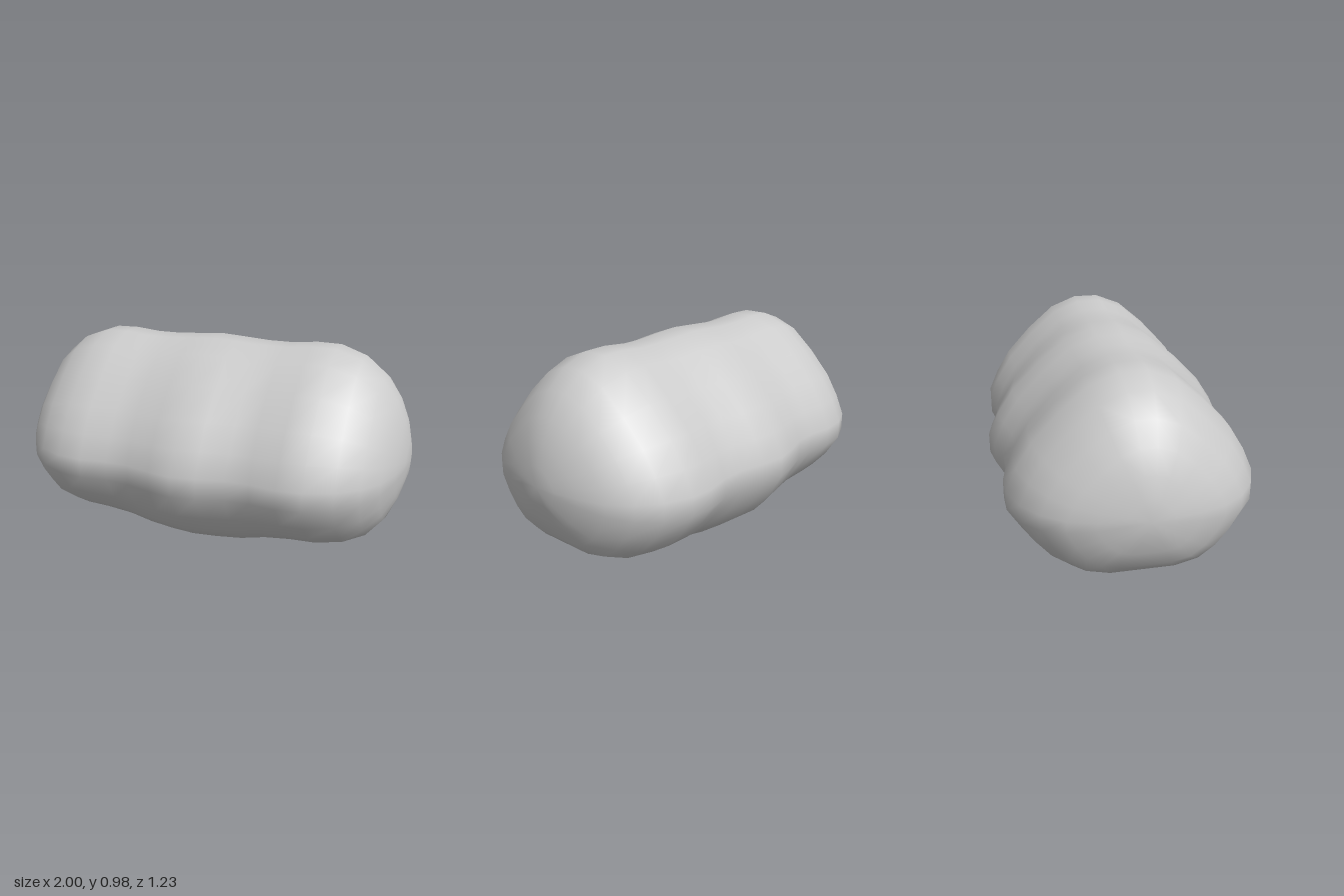
import * as THREE from 'three';

// Half of the cross-section: [sideways 0..1, height -1..1 about the widest line]
const HALF = [
  [0.11, 1], [0.34, 0.91], [0.575, 0.71], [0.79, 0.48], [0.915, 0.28], [1, 0.09],
  [1, -0.12], [0.88, -0.45], [0.75, -0.7], [0.575, -0.9], [0.33, -0.99],
];
const RING = [...HALF, ...HALF.map(([w, v]) => [-w, v]).reverse()];

// Half of the length: [x, top, bottom, half width, height of the widest line]
const STATIONS = [
  [0, 0.99, 0.002, 0.617, 0.395],
  [0.12, 0.983, 0.003, 0.595, 0.395],
  [0.25, 0.975, 0.008, 0.56, 0.395],
  [0.37, 0.975, 0.038, 0.557, 0.395],
  [0.5, 0.987, 0.062, 0.58, 0.395],
  [0.62, 0.985, 0.066, 0.576, 0.4],
  [0.75, 0.94, 0.08, 0.525, 0.405],
  [0.85, 0.86, 0.118, 0.447, 0.415],
  [0.92, 0.76, 0.19, 0.347, 0.425],
  [0.965, 0.66, 0.285, 0.225, 0.44],
  [0.99, 0.555, 0.375, 0.11, 0.455],
];

// Lofts the cross-section through all stations and closes both ends at a point
function loftBody() {
  const stations = [
    ...STATIONS.slice(1).reverse().map(([x, ...rest]) => [-x, ...rest]),
    ...STATIONS,
  ];
  const n = RING.length;
  const positions = [];
  const index = [];
  for (const [x, top, bottom, width, mid] of stations) {
    for (const [w, v] of RING) {
      positions.push(x, mid + v * (v > 0 ? top - mid : mid - bottom), w * width);
    }
  }
  for (let i = 0; i < stations.length - 1; i++) {
    for (let j = 0; j < n; j++) {
      const a = i * n + j;
      const b = i * n + ((j + 1) % n);
      index.push(a, b, a + n, b, b + n, a + n);
    }
  }

  // End tips
  const last = (stations.length - 1) * n;
  const leftTip = stations.length * n + 1;
  const rightTip = leftTip - 1;
  positions.push(-1, 0.46, 0, 1, 0.46, 0);
  for (let j = 0; j < n; j++) {
    const k = (j + 1) % n;
    index.push(rightTip, k, j, leftTip, last + j, last + k);
  }

  const geometry = new THREE.BufferGeometry();
  geometry.setAttribute('position', new THREE.Float32BufferAttribute(positions, 3));
  geometry.setIndex(index);
  geometry.computeVertexNormals();
  return geometry;
}

export function createModel() {
  const group = new THREE.Group();
  group.name = 'roundedLoaf';
  const body = new THREE.Mesh(
    loftBody(),
    new THREE.MeshStandardMaterial({ color: 0xcccccc }),
  );
  body.name = 'body';
  group.add(body);
  return group;
}
